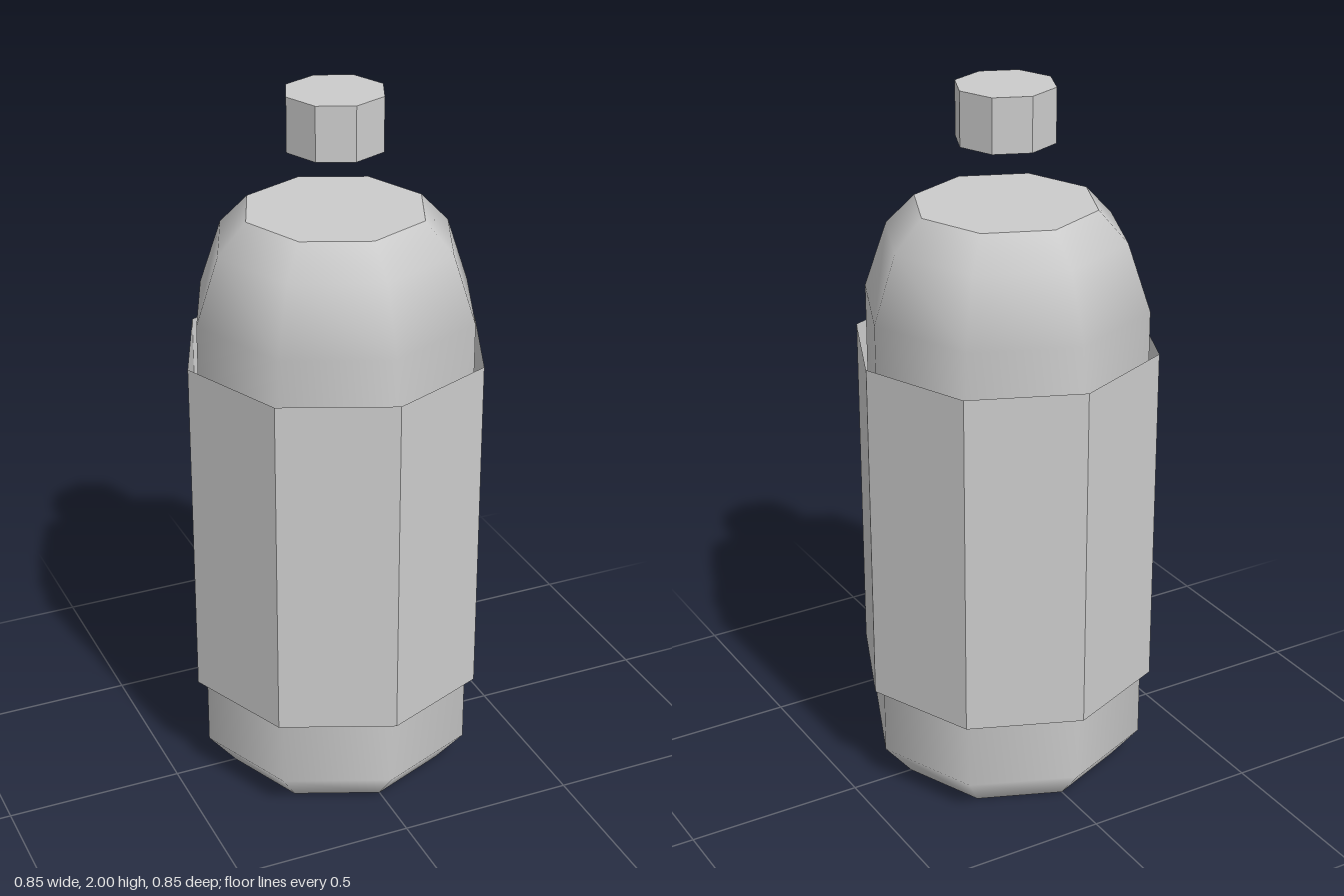
import * as THREE from 'three';

const SIDES = 8;

export function createModel() {
  const model = new THREE.Group();
  const smooth = new THREE.MeshStandardMaterial({ color: 0xcccccc });
  const flat = new THREE.MeshStandardMaterial({ color: 0xcccccc, flatShading: true });
  const thin = new THREE.MeshStandardMaterial({ color: 0xcccccc, flatShading: true, side: THREE.DoubleSide });

  const add = (name, geometry, material, y = 0) => {
    const mesh = new THREE.Mesh(geometry, material);
    mesh.name = name;
    mesh.position.y = y;
    model.add(mesh);
    return mesh;
  };

  // Body: smooth octagonal shell with a bevelled base and rounded shoulder
  const profile = [[0.318, 0], [0.398, 0.097], [0.398, 1.405], [0.334, 1.592], [0.253, 1.677]]
    .map(([r, y]) => new THREE.Vector2(r, y));
  add('body', new THREE.LatheGeometry(profile, SIDES), smooth);

  // Flat ends of the body
  add('bodyTop', new THREE.CircleGeometry(0.253, SIDES).rotateX(-Math.PI / 2), flat, 1.677);
  add('bodyBase', new THREE.CircleGeometry(0.318, SIDES).rotateX(Math.PI / 2), flat);

  // Sleeve: thin open band around the body
  add('sleeve', new THREE.CylinderGeometry(0.426, 0.426, 0.988, SIDES, 1, true), thin, 0.792);

  // Cap: small block floating above the shoulder
  add('cap', new THREE.CylinderGeometry(0.137, 0.137, 0.15, SIDES), flat, 1.925);

  return model;
}
